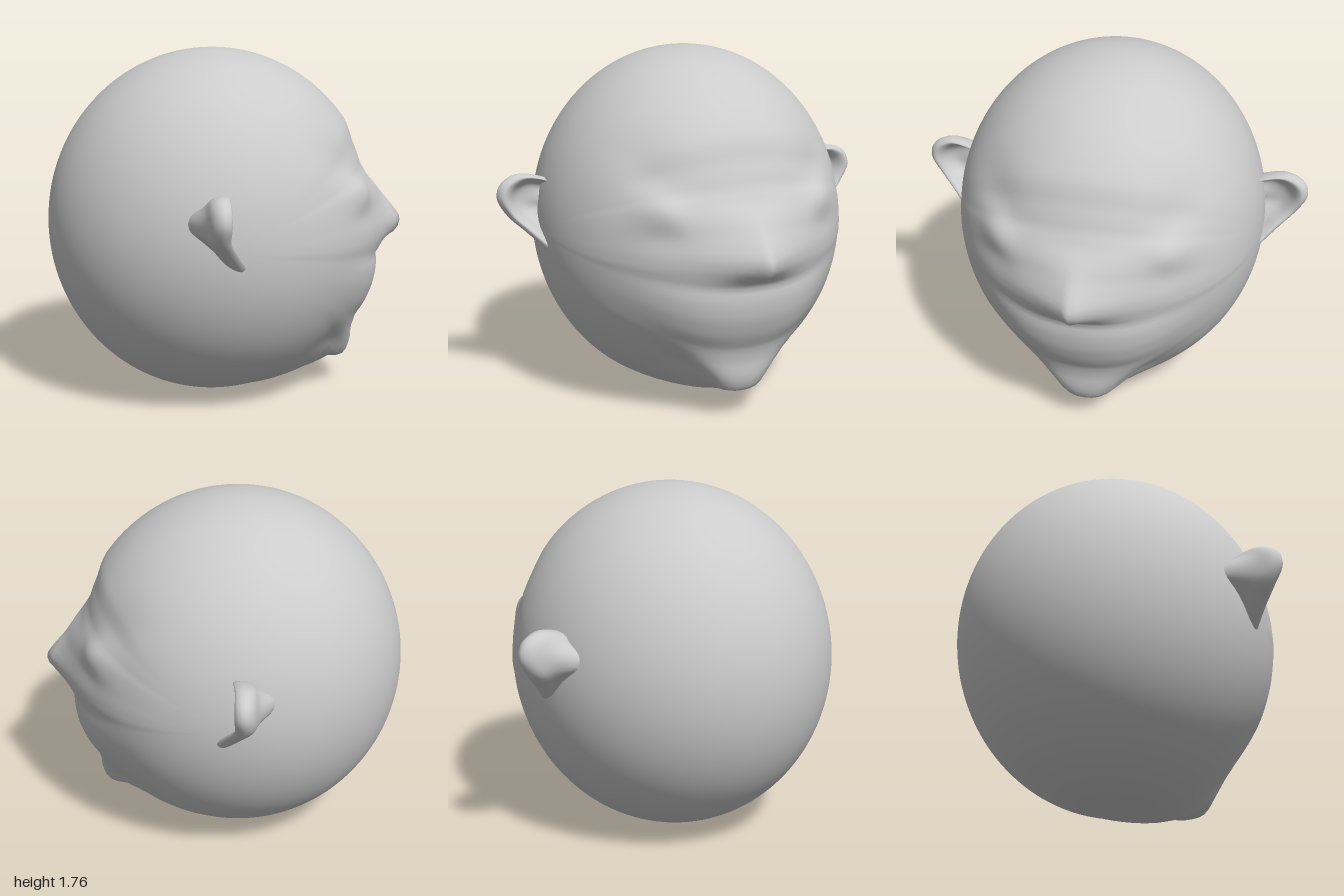
import * as THREE from 'three';
import { mergeVertices } from 'three/addons/utils/BufferGeometryUtils.js';

const CX = -0.08, CY = 0.882;            // skull centre
const RX = 0.84, RY = 0.882, RZ = 0.79;  // skull radii
const lerp = THREE.MathUtils.lerp;

// Smooth surface from a grid of points fn(u, v)
function surface(nu, nv, fn) {
  const pos = [], index = [];
  for (let i = 0; i <= nu; i++)
    for (let j = 0; j <= nv; j++) pos.push(...fn(i / nu, j / nv));
  for (let i = 0; i < nu; i++)
    for (let j = 0; j < nv; j++) {
      const a = i * (nv + 1) + j, b = a + nv + 1;
      index.push(a, b, b + 1, a, b + 1, a + 1);
    }
  let g = new THREE.BufferGeometry();
  g.setAttribute('position', new THREE.Float32BufferAttribute(pos, 3));
  g.setIndex(index);
  g = mergeVertices(g, 1e-5);
  g.computeVertexNormals();
  return g;
}

const ellipse = (t) => 1 / Math.hypot(Math.cos(t) / RX, Math.sin(t) / RY);

// Face profile from under the chin to the forehead: x, y, sideways width, falloff power
const profile = [
  [0.1, 0.02, 0.3, 2], [0.4, 0.08, 0.26, 2], [0.54, 0.14, 0.22, 3], [0.6, 0.13, 0.2, 3],
  [0.63, 0.16, 0.2, 3], [0.65, 0.23, 0.24, 3], [0.65, 0.3, 0.3, 3], [0.67, 0.38, 0.38, 3],
  [0.72, 0.46, 0.42, 4], [0.76, 0.56, 0.45, 4], [0.775, 0.65, 0.45, 4], [0.77, 0.73, 0.42, 3],
  [0.83, 0.77, 0.28, 1.2], [0.88, 0.79, 0.22, 1], [0.91, 0.83, 0.2, 1], [0.915, 0.87, 0.2, 1],
  [0.88, 0.92, 0.2, 1], [0.82, 0.99, 0.2, 1.1], [0.72, 1.11, 0.3, 1.5],
  [0.68, 1.18, 0.55, 3], [0.635, 1.3, 0.55, 3], [0.6, 1.4, 0.5, 3],
].map(([x, y, w, p]) => {
  const t = Math.atan2(y - CY, x - CX);
  return { t, e: Math.hypot(x - CX, y - CY) - ellipse(t), w, p };
});

// How far the face stands out from the skull at angle t and side distance z
function faceOffset(t, z) {
  for (let k = 1; k < profile.length; k++) {
    const a = profile[k - 1], b = profile[k];
    if (t < a.t || t > b.t) continue;
    const m = (t - a.t) / (b.t - a.t);
    const w = lerp(a.w, b.w, m), p = lerp(a.p, b.p, m);
    return lerp(a.e, b.e, m) * Math.exp(-Math.pow(Math.abs(z) / w, p));
  }
  return 0;
}

// Brow corners, with the temples slightly hollow above: y, z, height, size
const bumps = [[1.08, 0.43, 0.05, 0.1], [1.25, 0.45, -0.025, 0.12], [0.98, 0.42, -0.015, 0.08]];

function headPoint(u, v) {
  const t = (u * 2 - 1) * Math.PI, lat = (v - 0.5) * Math.PI;
  const z = RZ * Math.sin(lat), c = Math.cos(lat);
  let r = ellipse(t) * c;
  const y0 = CY + r * Math.sin(t);
  r += faceOffset(t, z) * Math.min(1, c * 2);
  if (Math.cos(t) > 0)
    for (const [by, bz, h, s] of bumps)
      r += h * c * Math.exp(-((y0 - by) ** 2 + (Math.abs(z) - bz) ** 2) / (s * s));
  return [CX + r * Math.cos(t), CY + r * Math.sin(t), z];
}

// Ear rim from upper to lower root, for the +z side
const rim = new THREE.CatmullRomCurve3([
  [-0.1, 1.1, 0.68], [-0.1, 1.15, 0.78], [-0.11, 1.165, 0.9], [-0.11, 1.12, 0.98],
  [-0.11, 1.05, 0.998], [-0.11, 0.96, 0.95], [-0.07, 0.88, 0.87], [0, 0.77, 0.76],
].map((p) => new THREE.Vector3(...p)));
const earRoot = new THREE.Vector3(-0.11, 1.0, 0.68);

// Ear section from the back root, over the rim, into the front hollow: reach, x offset
const section = new THREE.SplineCurve([
  [0.05, -0.17], [0.35, -0.13], [0.65, -0.075], [0.9, -0.045], [1, 0],
  [0.93, 0.04], [0.82, 0.03], [0.65, -0.02], [0.4, -0.03], [0.1, 0.0],
].map((p) => new THREE.Vector2(...p)));

function earGeometry(side) {
  return surface(32, 28, (u, v) => {
    const k = side > 0 ? u : 1 - u;
    const s = section.getPoint(v);
    const p = earRoot.clone().lerp(rim.getPoint(k), s.x);
    return [p.x + s.y, p.y, p.z * side];
  });
}

export function createModel() {
  const group = new THREE.Group();
  group.name = 'headModel';
  const material = new THREE.MeshStandardMaterial({ color: 0xcccccc });

  const add = (name, geometry, mat) => {
    const mesh = new THREE.Mesh(geometry, mat);
    mesh.name = name;
    group.add(mesh);
  };

  // Skull with face
  add('head', surface(200, 64, headPoint), material);

  // Ears
  const earMaterial = new THREE.MeshStandardMaterial({ color: 0xcccccc, side: THREE.DoubleSide });
  add('earPlusZ', earGeometry(1), earMaterial);
  add('earMinusZ', earGeometry(-1), earMaterial);
  return group;
}
